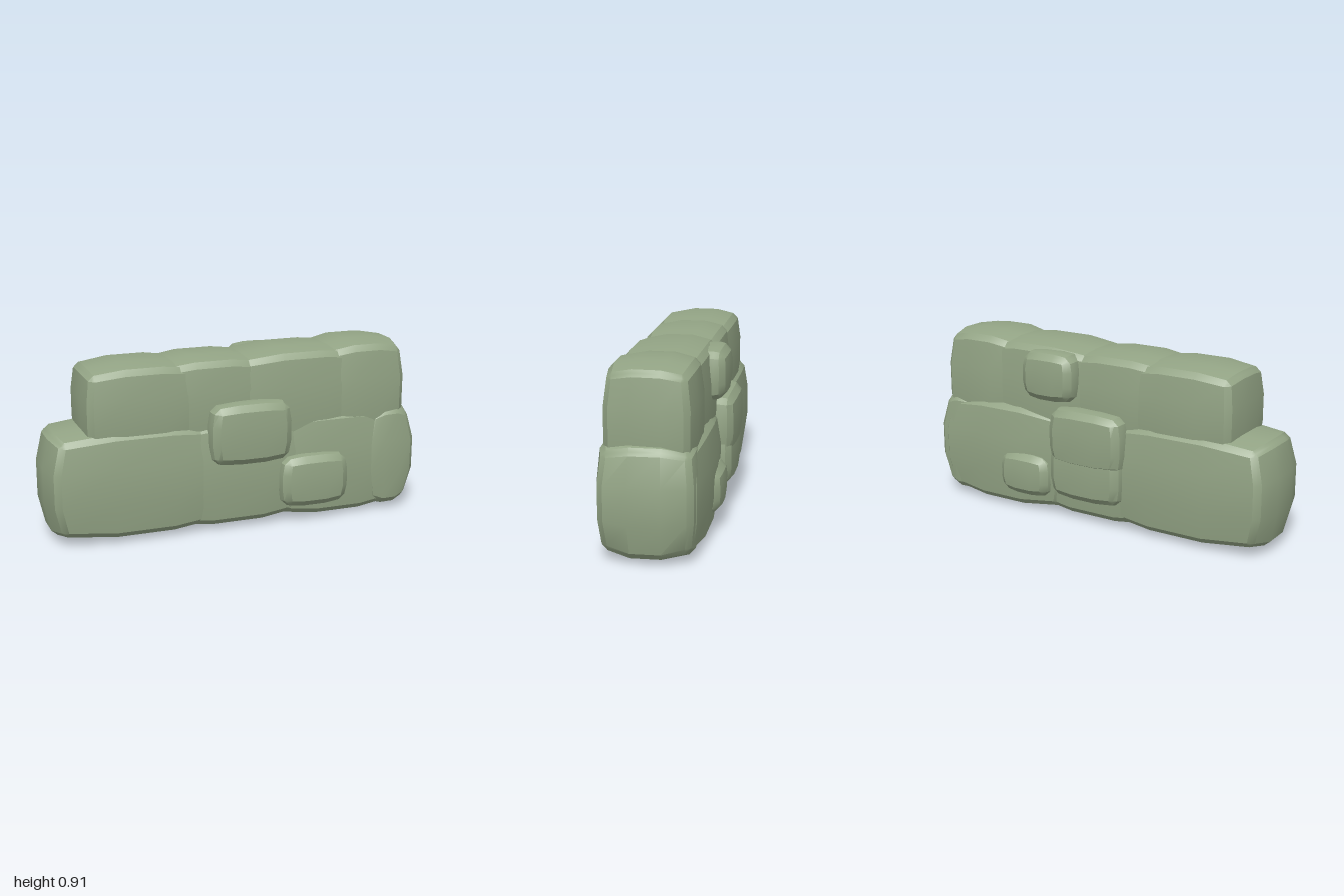
import * as THREE from 'three';
import { toCreasedNormals } from 'three/addons/utils/BufferGeometryUtils.js';

const material = new THREE.MeshStandardMaterial({ color: 0x93a485 });

// A chamfered block whose faces swell outwards; bounds are given per axis as [min, max].
function stone(name, x, y, z, bulge = [0.045, 0.032, 0.024], bevel = 0.026, yaw = 0) {
  const half = [x, y, z].map(([a, b]) => (b - a) / 2);
  const geometry = new THREE.BoxGeometry(2, 2, 2, 5, 5, 5);
  const p = geometry.attributes.position;
  for (let i = 0; i < p.count; i++) {
    const g = [p.getX(i), p.getY(i), p.getZ(i)];
    const onFace = g.map((v) => Math.abs(v) > 0.99);
    const faces = onFace.filter(Boolean).length;
    const out = g.map((v, k) => {
      const s = Math.sign(v);
      // outer grid lines become the chamfer, the inner ones the face
      if (onFace[k]) return s * (half[k] - bevel * (faces - 1) / faces);
      if (Math.abs(v) > 0.5) return s * (half[k] - bevel);
      return s * half[k] * 0.36;
    });
    const u = out.map((v, k) => v / half[k]);
    const swollen = out.map((v, k) => {
      const a = u[(k + 1) % 3], b = u[(k + 2) % 3];
      return v - u[k] * bulge[k] * (a * a + b * b);
    });
    p.setXYZ(i, ...swollen);
  }
  geometry.deleteAttribute('uv');
  const mesh = new THREE.Mesh(toCreasedNormals(geometry, 0.42), material);
  mesh.name = name;
  mesh.position.set((x[0] + x[1]) / 2, (y[0] + y[1]) / 2, (z[0] + z[1]) / 2);
  mesh.rotation.y = yaw;
  return mesh;
}

export function createModel() {
  const wall = new THREE.Group();
  wall.name = 'stoneWall';

  // Lower course of large blocks
  const lower = new THREE.Group();
  lower.name = 'lowerCourse';
  lower.add(
    stone('lowerBlockRight', [-1, -0.02], [0.01, 0.595], [-0.245, 0.24]),
    stone('lowerBlockMiddle', [-0.47, 0.42], [0.01, 0.59], [-0.235, 0.235]),
    stone('lowerBlockLeft', [0.1, 0.95], [0, 0.59], [-0.255, 0.232]),
    stone('lowerEndBlock', [0.62, 0.99], [0.01, 0.59], [-0.235, 0.235], [0.045, 0.035, 0.02], 0.026, 0.05),
  );

  // Upper course, slightly thinner and shorter
  const upper = new THREE.Group();
  upper.name = 'upperCourse';
  upper.add(
    stone('upperBlockRight', [-0.8, -0.2], [0.4, 0.895], [-0.215, 0.212], [0.02, 0.028, 0.02]),
    stone('upperBlockMiddleRight', [-0.45, 0.16], [0.4, 0.9], [-0.21, 0.205], [0.025, 0.028, 0.02]),
    stone('upperBlockMiddleLeft', [-0.02, 0.68], [0.35, 0.91], [-0.215, 0.212], [0.025, 0.028, 0.02]),
    stone('upperBlockLeft', [0.44, 0.915], [0.35, 0.925], [-0.22, 0.215], [0.025, 0.03, 0.022]),
  );

  // Small stones standing proud of both faces
  const small = new THREE.Group();
  small.name = 'facingStones';
  const soft = [0.02, 0.014, 0.01];
  const facing = (name, x, y, z) => small.add(stone(name, x, y, z, soft, 0.028));
  facing('frontStoneUpper', [-0.195, 0.245], [0.355, 0.675], [0.1, 0.295]);
  facing('frontStoneLower', [0.18, 0.56], [0.095, 0.375], [0.1, 0.29]);
  facing('backStoneTop', [0.05, 0.37], [0.62, 0.878], [-0.28, -0.1]);
  facing('backStoneMiddle', [-0.24, 0.2], [0.3, 0.61], [-0.297, -0.1]);
  facing('backStoneLow', [-0.23, 0.2], [0.13, 0.44], [-0.29, -0.1]);
  facing('backStoneSide', [0.2, 0.52], [0.095, 0.33], [-0.282, -0.1]);

  wall.add(lower, upper, small);
  return wall;
}
